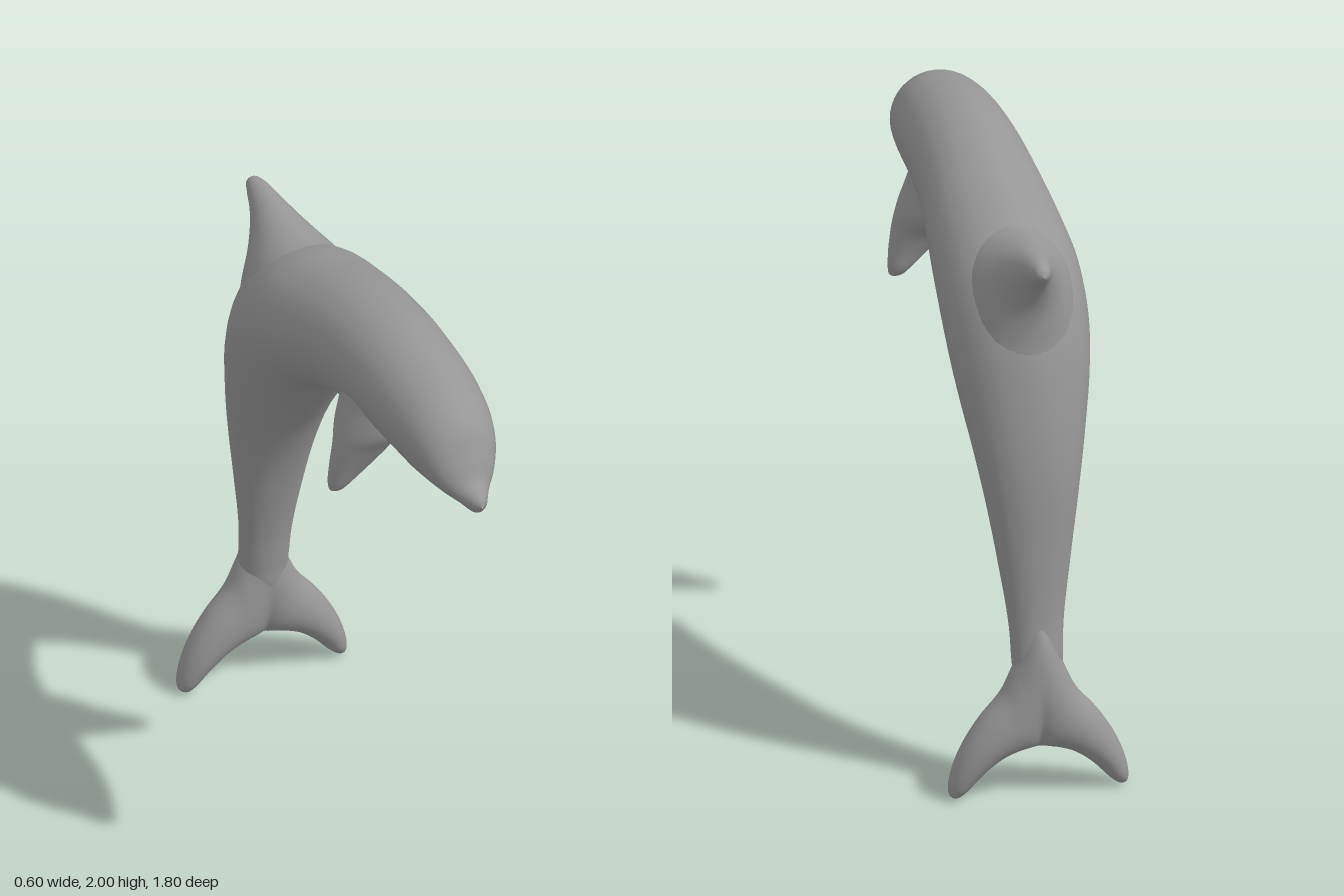
import * as THREE from 'three';

const material = new THREE.MeshStandardMaterial({ color: 0x969696 });

// Smooth loft through elliptical sections. Each section is [u1, v1, u2, v2, half thickness]:
// two opposite edge points in a plane, thickened along that plane's normal.
function loft(name, sections, toPoint, axis, steps = 8, sides = 40) {
  const curve = (fn) => new THREE.CatmullRomCurve3(sections.map(fn));
  const edgeA = curve((s) => toPoint(s[0], s[1], s));
  const edgeB = curve((s) => toPoint(s[2], s[3], s));
  const width = curve((s, i) => new THREE.Vector3(s[4], i * 0.1, 0));
  const rings = (sections.length - 1) * steps;
  const pos = [], index = [];
  for (let i = 0; i <= rings; i++) {
    const a = edgeA.getPoint(i / rings), b = edgeB.getPoint(i / rings);
    const w = Math.max(0.0005, width.getPoint(i / rings).x);
    const mid = a.clone().add(b).multiplyScalar(0.5);
    const half = a.clone().sub(b).multiplyScalar(0.5);
    for (let j = 0; j < sides; j++) {
      const t = (j / sides) * Math.PI * 2;
      const p = mid.clone().addScaledVector(half, Math.cos(t)).addScaledVector(axis, w * Math.sin(t));
      pos.push(p.x, p.y, p.z);
      if (i < rings) {
        const k = i * sides + j, n = i * sides + ((j + 1) % sides);
        index.push(k, n, k + sides, n, n + sides, k + sides);
      }
    }
  }
  // Turn the faces outward: measure the volume from the middle of the first ring,
  // so that an open root does not count
  const origin = edgeA.getPoint(0).add(edgeB.getPoint(0)).multiplyScalar(0.5);
  const at = (i) => new THREE.Vector3().fromArray(pos, i * 3).sub(origin);
  let volume = 0;
  for (let i = 0; i < index.length; i += 3) {
    volume += at(index[i]).dot(at(index[i + 1]).cross(at(index[i + 2])));
  }
  if (volume < 0) index.reverse();
  const geometry = new THREE.BufferGeometry();
  geometry.setAttribute('position', new THREE.Float32BufferAttribute(pos, 3));
  geometry.setIndex(index);
  geometry.computeVertexNormals();
  const mesh = new THREE.Mesh(geometry, material);
  mesh.name = name;
  return mesh;
}

export function createModel() {
  const group = new THREE.Group();
  group.name = 'dolphin';
  const X = new THREE.Vector3(1, 0, 0), Z = new THREE.Vector3(0, 0, 1);
  const side = (z, y) => new THREE.Vector3(0, y, z);

  // Body from beak to tail stock: back (z, y), belly (z, y), half width
  group.add(loft('body', [
    [0.9, 1.652, 0.899, 1.648, 0.002],
    [0.888, 1.675, 0.868, 1.615, 0.026],
    [0.835, 1.712, 0.815, 1.62, 0.058],
    [0.795, 1.785, 0.765, 1.624, 0.097],
    [0.745, 1.87, 0.7, 1.623, 0.13],
    [0.65, 1.938, 0.62, 1.621, 0.156],
    [0.5, 1.977, 0.46, 1.626, 0.176],
    [0.25, 2.0, 0.2, 1.612, 0.188],
    [0, 1.98, -0.03, 1.56, 0.202],
    [-0.25, 1.922, -0.2, 1.48, 0.225],
    [-0.47, 1.858, -0.32, 1.395, 0.238],
    [-0.635, 1.745, -0.405, 1.295, 0.236],
    [-0.728, 1.58, -0.48, 1.195, 0.22],
    [-0.787, 1.36, -0.56, 1.075, 0.19],
    [-0.825, 1.12, -0.63, 0.92, 0.155],
    [-0.837, 0.85, -0.68, 0.75, 0.12],
    [-0.848, 0.62, -0.715, 0.58, 0.092],
    [-0.868, 0.46, -0.731, 0.45, 0.084],
    [-0.878, 0.36, -0.742, 0.36, 0.07],
    [-0.815, 0.25, -0.81, 0.25, 0.002],
  ], side, X));

  // Dorsal fin flaring out of the back and sweeping to a blunt tip
  group.add(loft('dorsalFin', [
    [-0.34, 1.87, -0.76, 1.42, 0.19],
    [-0.48, 1.861, -0.745, 1.57, 0.152],
    [-0.61, 1.873, -0.758, 1.685, 0.102],
    [-0.73, 1.89, -0.805, 1.775, 0.06],
    [-0.835, 1.898, -0.86, 1.825, 0.036],
    [-0.882, 1.888, -0.888, 1.846, 0.022],
    [-0.9, 1.868, -0.9, 1.862, 0.002],
  ], side, X));

  // Flippers: leading edge (z, y), trailing edge (z, y), half thickness, sideways offset
  for (const [label, s] of [['left', 1], ['right', -1]]) {
    group.add(loft(label + 'Flipper', [
      [0.37, 1.82, 0.14, 1.82, 0.06, 0.095],
      [0.39, 1.73, 0.11, 1.73, 0.082, 0.1],
      [0.388, 1.65, 0.12, 1.63, 0.108, 0.108],
      [0.352, 1.58, 0.172, 1.57, 0.1, 0.135],
      [0.315, 1.5, 0.2, 1.5, 0.072, 0.176],
      [0.285, 1.43, 0.218, 1.43, 0.038, 0.215],
      [0.27, 1.408, 0.234, 1.408, 0.024, 0.225],
      [0.252, 1.398, 0.25, 1.398, 0.002, 0.23],
    ], (z, y, sec) => new THREE.Vector3(s * sec[5], y, z), X));
  }

  // Tail flukes, one crescent from tip to tip: upper edge (x, y), lower edge (x, y), half thickness
  const fluke = [
    [0.282, 0.002, 0.278, 0.002, 0.002],
    [0.298, 0.018, 0.258, 0.013, 0.028],
    [0.3, 0.05, 0.235, 0.033, 0.045],
    [0.285, 0.115, 0.175, 0.095, 0.062],
    [0.25, 0.195, 0.115, 0.138, 0.072],
    [0.195, 0.28, 0.065, 0.156, 0.077],
    [0.125, 0.365, 0.03, 0.162, 0.078],
    [0.08, 0.46, 0.012, 0.164, 0.077],
  ];
  const mirrored = fluke.map(([a, b, c, d, w]) => [-a, b, -c, d, w]).reverse();
  group.add(loft('tailFlukes', [...fluke, [0, 0.62, 0, 0.164, 0.076], ...mirrored],
    (x, y) => new THREE.Vector3(x, y, -0.813), Z));
  return group;
}
